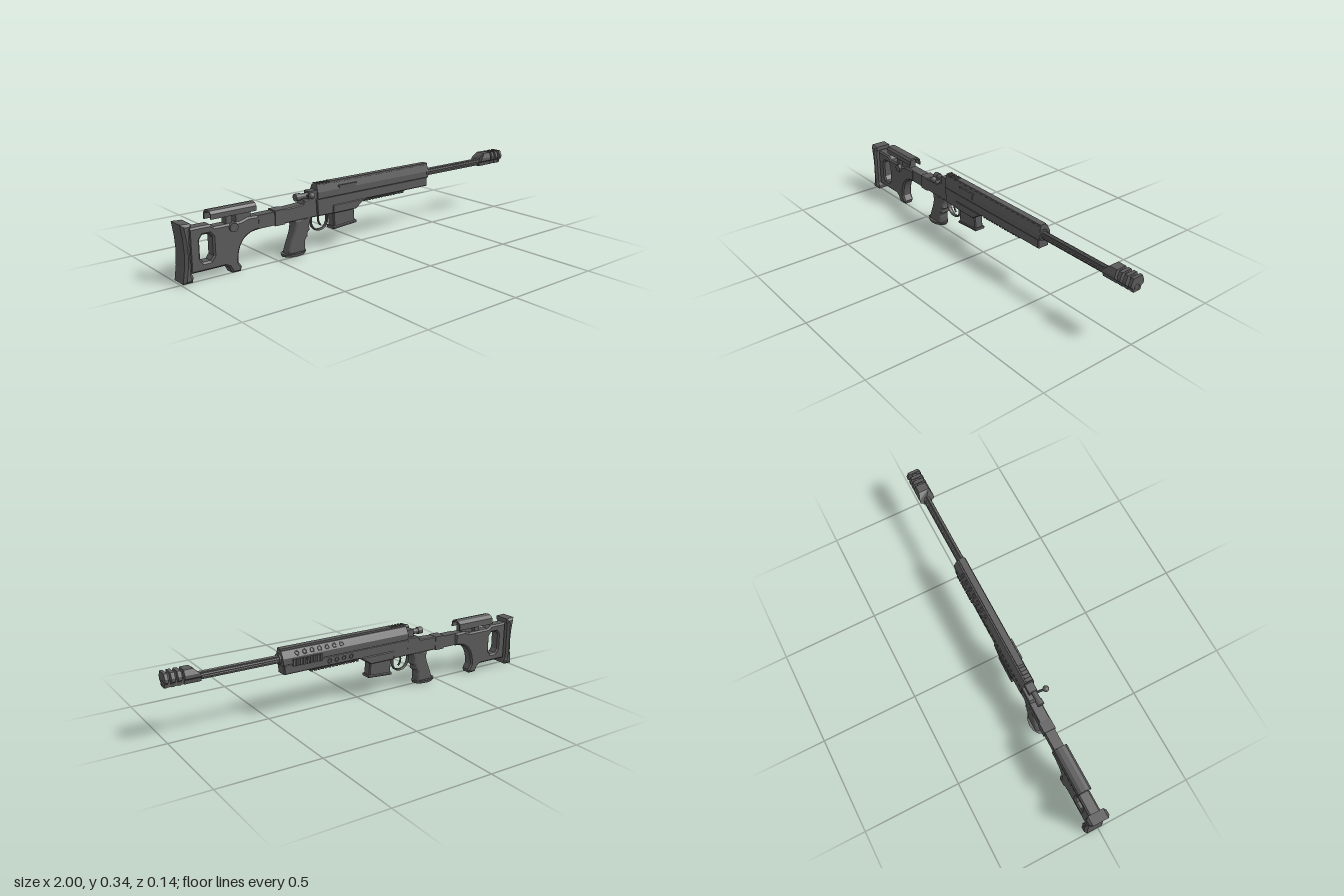
import * as THREE from 'three';

const steel = new THREE.MeshStandardMaterial({ color: 0x5a5a5a });
steel.name = 'gunmetal grey';
steel.flatShading = true;
const MID = -0.013; // centre plane of the chassis
const BORE = 0.291; // height of the barrel axis

export function createModel() {
  const model = new THREE.Group();
  const add = (name, geometry, x = 0, y = 0, z = 0) => {
    const mesh = new THREE.Mesh(geometry, steel);
    mesh.name = name;
    mesh.position.set(x, y, z);
    model.add(mesh);
    return mesh;
  };
  const shapeOf = (pts) => new THREE.Shape(pts.map((p) => new THREE.Vector2(p[0], p[1])));

  // Side outline (x, y) given a width in z, with chamfered edges
  const plate = (name, shape, width, bevel = 0.006, z = MID, steps = 1) => {
    const g = new THREE.ExtrudeGeometry(shape, {
      depth: width - 2 * bevel, bevelEnabled: bevel > 0, bevelThickness: bevel,
      bevelSize: bevel, bevelOffset: -bevel, bevelSegments: steps, curveSegments: 10,
    });
    g.translate(0, 0, -width / 2 + bevel);
    return add(name, g, 0, 0, z);
  };
  // Cross-section (z, y) run along x
  const run = (name, pts, x0, x1) => {
    const g = new THREE.ExtrudeGeometry(shapeOf(pts.map(([z, y]) => [-z, y])), { depth: x1 - x0, bevelEnabled: false });
    g.rotateY(Math.PI / 2);
    return add(name, g, x0);
  };
  const box = (name, x0, x1, y0, y1, z0, z1) =>
    add(name, new THREE.BoxGeometry(x1 - x0, y1 - y0, z1 - z0), (x0 + x1) / 2, (y0 + y1) / 2, (z0 + z1) / 2);
  const rod = (name, r, x0, x1, y, z, sides = 16) => {
    const g = new THREE.CylinderGeometry(r, r, x1 - x0, sides);
    g.rotateZ(Math.PI / 2);
    return add(name, g, (x0 + x1) / 2, y, z);
  };
  const disc = (name, r, x, y, z, depth, sides = 16) => {
    const g = new THREE.CylinderGeometry(r, r, depth, sides);
    g.rotateX(Math.PI / 2);
    return add(name, g, x, y, z);
  };

  // Shoulder stock with thumb opening and lower hook
  const stock = new THREE.Shape();
  stock.moveTo(-0.955, 0.25);
  stock.lineTo(-0.955, 0.045);
  stock.lineTo(-0.785, 0.045);
  stock.lineTo(-0.765, 0.035);
  stock.lineTo(-0.75, 0.004);
  stock.lineTo(-0.707, 0.003);
  stock.lineTo(-0.7, 0.022);
  stock.lineTo(-0.717, 0.05);
  stock.bezierCurveTo(-0.715, 0.12, -0.69, 0.18, -0.6, 0.18);
  stock.lineTo(-0.6, 0.245);
  stock.lineTo(-0.66, 0.247);
  stock.lineTo(-0.7, 0.235);
  stock.lineTo(-0.83, 0.235);
  stock.lineTo(-0.85, 0.25);
  stock.holes.push(new THREE.Path([[-0.89, 0.085], [-0.855, 0.085], [-0.84, 0.105], [-0.84, 0.19],
    [-0.855, 0.21], [-0.89, 0.21], [-0.905, 0.19], [-0.905, 0.105]].map((p) => new THREE.Vector2(...p))));
  plate('stock', stock, 0.06, 0.008, -0.018);

  // Butt pad, scooped on its rear face
  const pad = shapeOf([[-1, 0.278], [-0.99, 0.21], [-0.986, 0.145], [-0.99, 0.08], [-1, 0.012],
    [-0.955, 0.012], [-0.95, 0.035], [-0.957, 0.05], [-0.957, 0.245], [-0.95, 0.258], [-0.95, 0.275]]);
  plate('buttPad', pad, 0.104, 0.012, -0.018);

  // Cheek rest shell on two posts
  run('cheekRest', [[0.016, 0.272], [0.016, 0.295], [0.006, 0.308], [-0.012, 0.312], [-0.035, 0.308], [-0.05, 0.294],
    [-0.053, 0.262], [-0.046, 0.262], [-0.043, 0.29], [-0.032, 0.3], [0.003, 0.3], [0.01, 0.292], [0.01, 0.272]], -0.85, -0.62);
  for (const [a, b] of [[-0.77, -0.74], [-0.72, -0.645]]) box('cheekPost', a, b, 0.23, 0.302, -0.035, 0.004);
  disc('cheekKnob', 0.021, -0.74, 0.217, 0.013, 0.018);

  // Folding arm and hinge block
  box('stockArm', -0.61, -0.46, 0.183, 0.246, -0.04, 0.01);
  box('armCollar', -0.52, -0.465, 0.179, 0.252, -0.044, 0.015);
  plate('hingeBlock', shapeOf([[-0.47, 0.182], [-0.28, 0.182], [-0.28, 0.278], [-0.355, 0.272], [-0.365, 0.255], [-0.47, 0.25]]), 0.056, 0.004);

  // Pistol grip with finger grooves and flared base
  const grip = new THREE.Shape();
  grip.moveTo(-0.42, 0.187);
  grip.bezierCurveTo(-0.395, 0.14, -0.44, 0.09, -0.455, 0.02);
  grip.lineTo(-0.355, 0.02);
  grip.lineTo(-0.352, 0.06);
  grip.quadraticCurveTo(-0.358, 0.08, -0.336, 0.093);
  grip.quadraticCurveTo(-0.344, 0.112, -0.322, 0.125);
  grip.quadraticCurveTo(-0.335, 0.15, -0.31, 0.187);
  plate('pistolGrip', grip, 0.06, 0.015, MID, 3);
  const base = new THREE.CylinderGeometry(1, 0.92, 0.014, 12);
  base.scale(0.068, 1, 0.044);
  add('gripBase', base, -0.407, 0.02, MID);

  // Trigger guard and trigger
  const guard = new THREE.CatmullRomCurve3([[-0.305, 0.185], [-0.3, 0.135], [-0.275, 0.11], [-0.235, 0.109],
    [-0.212, 0.13], [-0.205, 0.185]].map(([x, y]) => new THREE.Vector3(x, y, 0)));
  const guardGeo = new THREE.TubeGeometry(guard, 24, 0.005, 6);
  guardGeo.scale(1, 1, 2.4);
  add('triggerGuard', guardGeo, 0, 0, MID);
  const trigger = new THREE.QuadraticBezierCurve3(new THREE.Vector3(-0.255, 0.185, 0), new THREE.Vector3(-0.268, 0.15, 0), new THREE.Vector3(-0.245, 0.128, 0));
  add('trigger', new THREE.TubeGeometry(trigger, 8, 0.005, 6), 0, 0, MID);

  // Magazine with floor plate
  plate('magazine', shapeOf([[-0.185, 0.19], [-0.18, 0.105], [-0.05, 0.115], [-0.055, 0.19]]), 0.05, 0.005);
  plate('magazineFloor', shapeOf([[-0.186, 0.112], [-0.186, 0.099], [-0.043, 0.109], [-0.043, 0.122]]), 0.06, 0.003);

  // Chassis and forend
  plate('chassis', shapeOf([[-0.29, 0.27], [-0.285, 0.184], [-0.2, 0.182], [-0.055, 0.182], [0.01, 0.221],
    [0.43, 0.221], [0.43, 0.27]]), 0.066, 0.004, -0.01);
  plate('magazineWell', shapeOf([[-0.195, 0.225], [-0.195, 0.183], [-0.055, 0.183], [-0.005, 0.215], [-0.005, 0.225]]), 0.074, 0.003, -0.011);
  run('receiverShell', [[0.02, 0.264], [0.025, 0.27], [0.025, 0.3], [0.016, 0.334], [-0.024, 0.334],
    [-0.043, 0.3], [-0.043, 0.27], [-0.038, 0.264]], -0.285, 0.435);
  rod('barrelCollar', 0.027, 0.425, 0.442, BORE, 0, 20);

  // Top rail, toothed at the rear, and lower rail
  box('topRail', -0.195, 0.435, 0.33, 0.343, -0.017, 0.015);
  box('rearRailBase', -0.285, -0.195, 0.33, 0.338, -0.017, 0.015);
  for (let i = 0; i < 5; i++) box('rearRailTooth', -0.284 + i * 0.019, -0.273 + i * 0.019, 0.336, 0.344, -0.017, 0.015);
  box('lowerRail', 0.005, 0.285, 0.212, 0.223, -0.026, 0.004);
  for (let i = 0; i < 14; i++) box('lowerRailTooth', 0.008 + i * 0.02, 0.019 + i * 0.02, 0.205, 0.214, -0.028, 0.006);

  // Ejection port cover with raised border
  box('ejectionPort', -0.157, -0.055, 0.285, 0.312, 0.015, 0.027);
  box('ejectionPortLip', -0.162, -0.05, 0.311, 0.318, 0.01, 0.028);

  // Right-hand vents and side rail
  const vent = (x, y, z, tilt) => {
    const ring = add('ventRing', new THREE.TorusGeometry(0.01, 0.0025, 6, 14), x, y, z);
    ring.rotation.x = tilt;
  };
  for (let i = 0; i < 7; i++) vent(0.11 + i * 0.041, 0.316, -0.034, 0.51);
  for (let i = 0; i < 4; i++) vent(0.06 + i * 0.041, 0.245, -0.043, 0);
  box('sideRail', 0.225, 0.39, 0.262, 0.288, -0.046, -0.04);
  for (let i = 0; i < 9; i++) box('sideRailTooth', 0.228 + i * 0.0185, 0.238 + i * 0.0185, 0.258, 0.292, -0.052, -0.042);

  // Bolt, handle and knob
  rod('bolt', 0.014, -0.39, -0.28, BORE, 0);
  rod('boltShroud', 0.018, -0.4, -0.372, BORE, 0);
  box('boltBridge', -0.33, -0.28, 0.268, 0.312, -0.026, 0.016);
  const handle = new THREE.LineCurve3(new THREE.Vector3(-0.335, BORE, 0), new THREE.Vector3(-0.343, 0.302, 0.055));
  add('boltHandle', new THREE.TubeGeometry(handle, 1, 0.006, 8));
  add('boltKnob', new THREE.SphereGeometry(0.016, 14, 10), -0.343, 0.302, 0.056);

  // Fluted barrel
  const flutes = [];
  for (let i = 0; i < 32; i++) {
    const a = (i / 32) * Math.PI * 2;
    const r = i % 4 === 0 ? 0.0155 : 0.0195;
    flutes.push([Math.cos(a) * r, BORE + Math.sin(a) * r]);
  }
  run('barrel', flutes, 0.43, 0.85);

  // Muzzle brake: sloped rear block, then open fins around a core
  const brake = [[0.02, 0.27], [0.026, 0.29], [0.038, 0.298], [0.038, 0.314], [0.027, 0.339],
    [-0.027, 0.339], [-0.038, 0.314], [-0.038, 0.298], [-0.026, 0.29], [-0.02, 0.27]];
  const rear = run('brakeRear', brake, 0.83, 0.91);
  const pos = rear.geometry.attributes.position;
  for (let i = 0; i < pos.count; i++) {
    if (pos.getX(i) < 0.01) pos.setX(i, Math.max(0, (pos.getY(i) - 0.305) * 1.1));
  }
  rear.geometry.computeVertexNormals();
  for (const [a, b] of [[0.922, 0.94], [0.953, 0.97], [0.985, 1]]) run('brakeFin', brake, a, b);
  box('brakeCore', 0.9, 0.997, 0.272, 0.3, -0.02, 0.02);
  box('brakeSpine', 0.9, 0.997, 0.3, 0.33, -0.012, 0.012);
  add('muzzleRing', new THREE.TorusGeometry(0.014, 0.003, 6, 18).rotateY(Math.PI / 2), 0.998, BORE, 0);

  return model;
}
